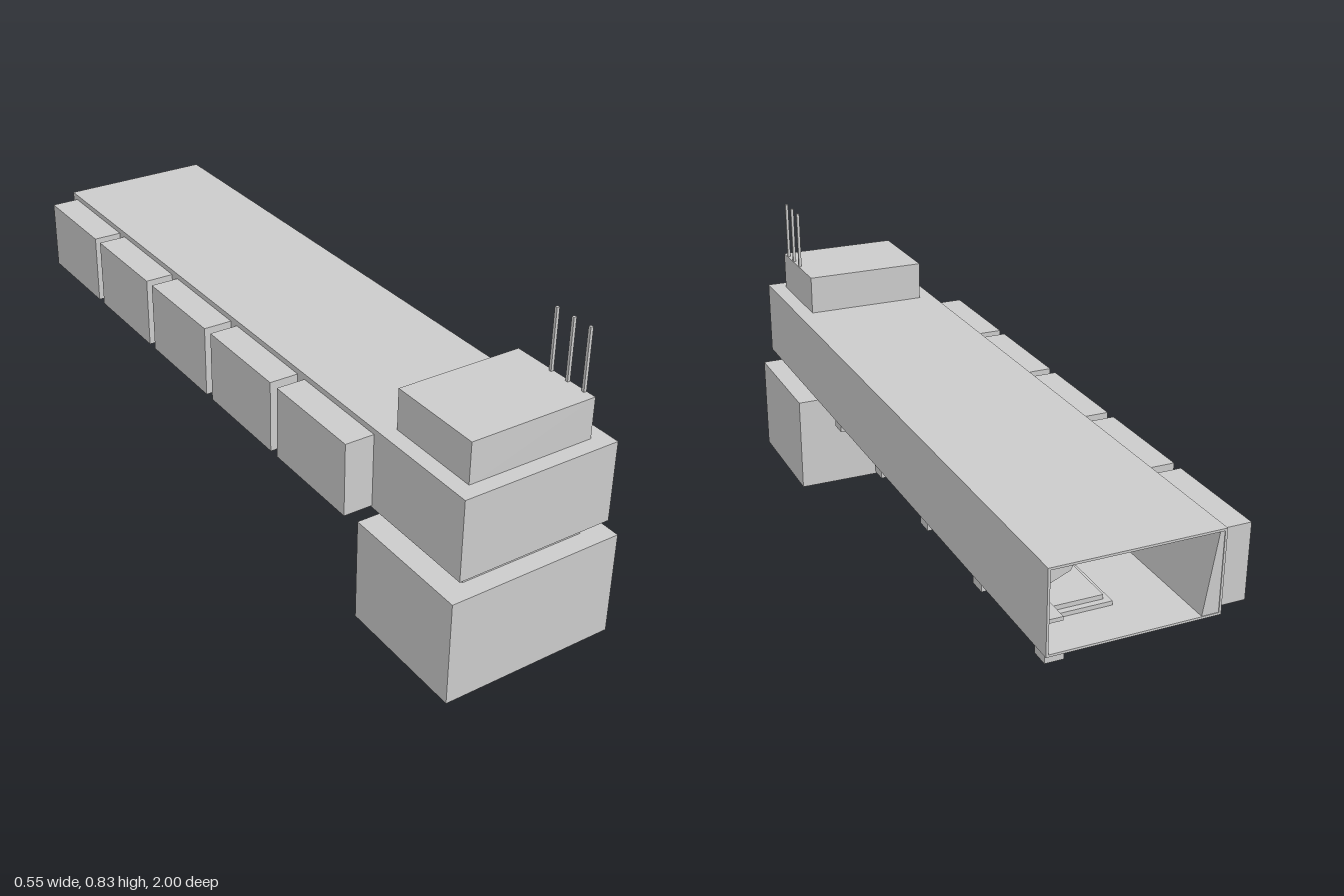
import * as THREE from 'three';

const material = new THREE.MeshStandardMaterial({ color: 0xcccccc, flatShading: true, side: THREE.DoubleSide });

// Box given by its limits on each axis
function box(parent, name, [x0, x1], [y0, y1], [z0, z1]) {
  const mesh = new THREE.Mesh(new THREE.BoxGeometry(x1 - x0, y1 - y0, z1 - z0), material);
  mesh.position.set((x0 + x1) / 2, (y0 + y1) / 2, (z0 + z1) / 2);
  mesh.name = name;
  parent.add(mesh);
  return mesh;
}

// Prism with an xy outline, run along z
function prism(parent, name, points, z0, z1) {
  const shape = new THREE.Shape(points.map(([x, y]) => new THREE.Vector2(x, y)));
  const geometry = new THREE.ExtrudeGeometry(shape, { depth: z1 - z0, bevelEnabled: false });
  const mesh = new THREE.Mesh(geometry, material);
  mesh.position.z = z0;
  mesh.name = name;
  parent.add(mesh);
}

function group(parent, name) {
  const g = new THREE.Group();
  g.name = name;
  parent.add(g);
  return g;
}

export function createModel() {
  const model = new THREE.Group();
  model.name = 'corridorBuilding';

  // Base block and the neck carrying the corridor
  box(model, 'base', [-0.22, 0.272], [0, 0.287], [0.628, 1]);
  box(model, 'neck', [-0.152, 0.2], [0.287, 0.335], [0.68, 0.948]);
  box(model, 'neckStep', [0.02, 0.185], [0.29, 0.335], [0.628, 0.685]);

  // Hollow corridor, open at the back
  const hall = group(model, 'corridor');
  const t = 0.006, X = [-0.195, 0.245], Y = [0.333, 0.553], Z = [-1, 0.99];
  box(hall, 'floor', X, [Y[0], Y[0] + t], Z);
  box(hall, 'ceiling', X, [Y[1] - t, Y[1]], Z);
  box(hall, 'rightWall', [X[0], X[0] + t], Y, Z);
  box(hall, 'leftWall', [X[1] - t, X[1]], Y, Z);
  box(hall, 'frontWall', X, Y, [Z[1] - t, Z[1]]);

  // Sloping lining on the right, overhead lockers and a ledge on the left
  prism(hall, 'slopedLining', [[-0.19, 0.338], [-0.145, 0.338], [-0.178, 0.548], [-0.19, 0.548]], -0.998, 0.98);
  prism(hall, 'overheadLocker', [[0.24, 0.548], [0.15, 0.548], [0.17, 0.51], [0.24, 0.48]], -0.96, 0.6);
  box(hall, 'wallLedge', [0.2, 0.24], [0.41, 0.42], [-0.99, 0.6]);

  // Roof block with three aerials
  box(model, 'roofBlock', [-0.152, 0.2], [0.55, 0.664], [0.68, 0.948]);
  for (const z of [0.803, 0.86, 0.915]) {
    box(model, 'aerial', [0.191, 0.199], [0.66, 0.831], [z - 0.004, z + 0.004]);
  }

  for (let i = 0; i < 5; i++) {
    // Side cabins on the right wall
    const c = 0.5 - i * 0.331;
    box(model, 'sideCabin', [-0.275, -0.194], [0.338, 0.538], [c - 0.15, c + 0.15]);

    // Floor bay: recessed hatch below, raised panel and frame above
    const z = 0.541 - i * 0.332, x = 0.1;
    const bay = group(model, 'floorBay');
    box(bay, 'bayBody', [x - 0.086, x + 0.086], [0.29, 0.35], [z - 0.088, z + 0.088]);
    box(bay, 'bayHatch', [x - 0.072, x + 0.072], [0.279, 0.29], [z - 0.075, z + 0.075]);
    box(bay, 'bayPanel', [x - 0.07, x + 0.07], [0.35, 0.362], [z - 0.072, z + 0.072]);
    for (const s of [-1, 1]) {
      box(bay, 'framePost', [0.187, 0.192], [0.339, 0.45], [z + s * 0.08 - 0.003, z + s * 0.08 + 0.003]);
    }
    box(bay, 'frameRail', [0.187, 0.192], [0.445, 0.45], [z - 0.08, z + 0.08]);

    // Small foot beside each bay
    box(bay, 'foot', [0.18, 0.228], [0.29, 0.337], [z - 0.174, z - 0.126]);

    // Stepped conduit under the ceiling
    const pipes = [[[0.14, 0.1], [z - 0.15, z + 0.182]], [[-0.04, -0.05], [z - 0.15, z + 0.182]]];
    for (const [[a, b], run] of pipes) {
      box(hall, 'conduit', [Math.min(a, b), Math.min(a, b) + 0.01], [0.535, 0.548], run);
    }
    box(hall, 'crossConduit', [-0.17, 0.15], [0.535, 0.548], [z - 0.005, z + 0.005]);
  }
  return model;
}
